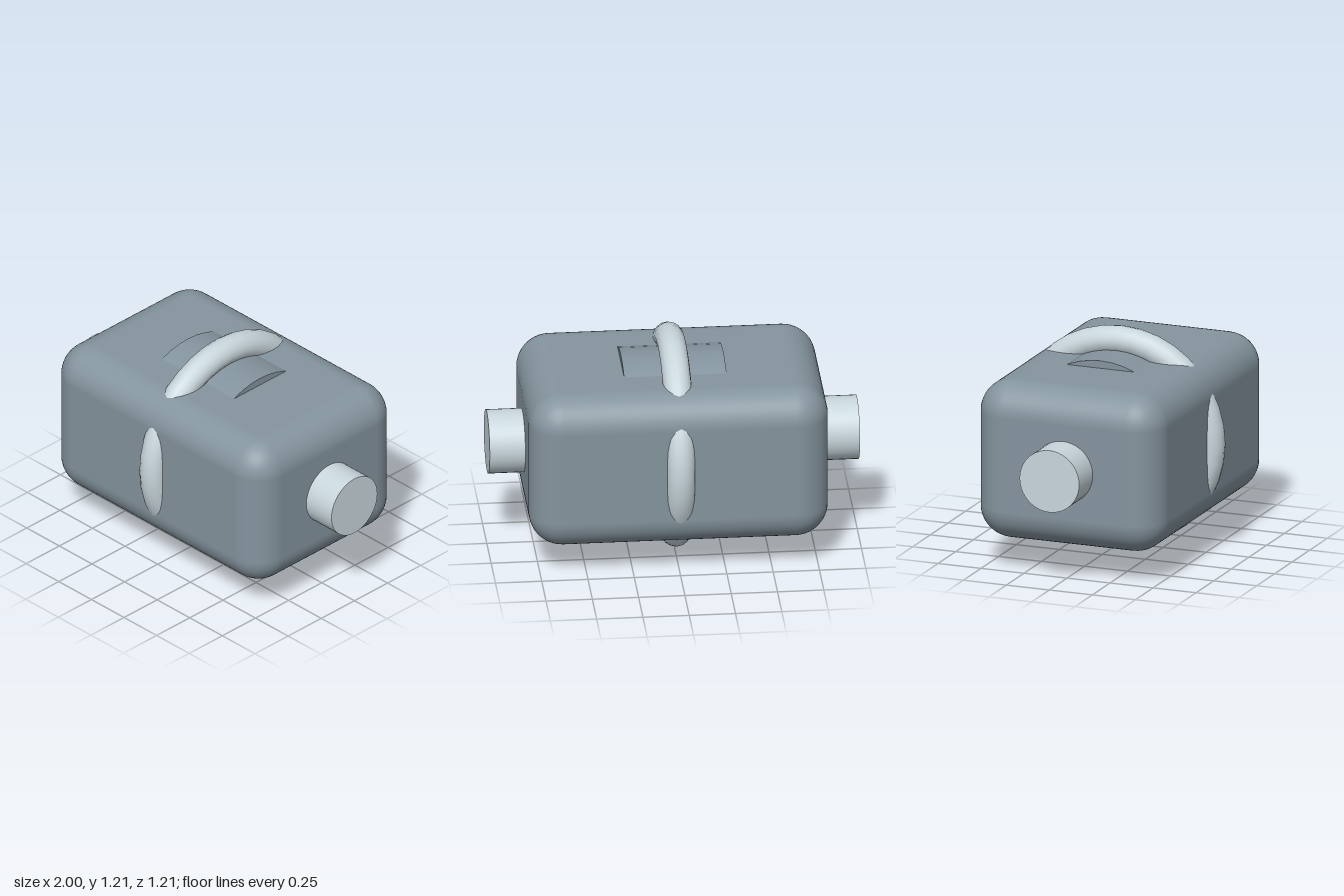
import * as THREE from 'three';
import { RoundedBoxGeometry } from 'three/addons/geometries/RoundedBoxGeometry.js';

export function createModel() {
  const model = new THREE.Group();
  const dark = new THREE.MeshStandardMaterial({ color: 0x84949e });
  const light = new THREE.MeshStandardMaterial({ color: 0xc8d6dc });
  const axisY = 0.607;

  const add = (name, geometry, material) => {
    const mesh = new THREE.Mesh(geometry, material);
    mesh.name = name;
    mesh.position.y = axisY;
    model.add(mesh);
    return mesh;
  };

  // Rounded housing
  add('housing', new RoundedBoxGeometry(1.615, 0.882, 1.075, 6, 0.18), dark);

  // Drum showing through the top and bottom of the housing
  add('drum', new THREE.CylinderGeometry(0.483, 0.483, 0.553, 48).rotateZ(Math.PI / 2), dark);

  // Ring around the middle
  add('ring', new THREE.TorusGeometry(0.53, 0.077, 16, 36).rotateY(Math.PI / 2), light);

  // Shaft running through both ends
  add('shaft', new THREE.CylinderGeometry(0.173, 0.173, 2, 40).rotateZ(Math.PI / 2), light);

  return model;
}
